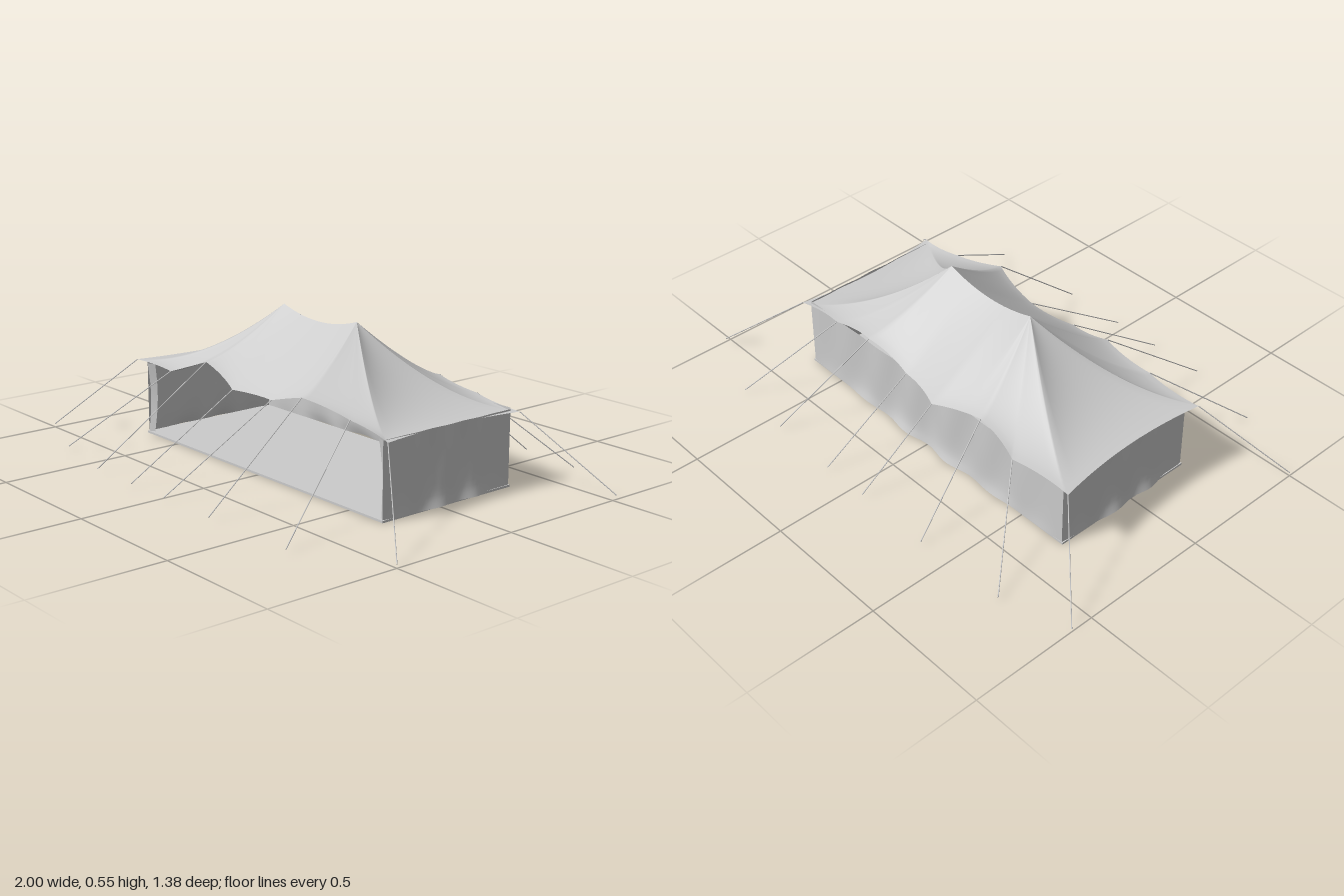
import * as THREE from 'three';

const canvas = new THREE.MeshStandardMaterial({ color: 0xcccccc, side: THREE.DoubleSide });
const lerp = THREE.MathUtils.lerp;

// Eave points x, y, z, each with the ground peg (x, z) of its guy rope
const frontEave = [
  [-0.74, 0.29, 0.275, -1, 0.5], [-0.5, 0.29, 0.285, -0.7, 0.62],
  [-0.32, 0.355, 0.25, -0.39, 0.69], [-0.12, 0.295, 0.28, -0.17, 0.69],
  [0.08, 0.295, 0.26, 0.03, 0.69], [0.28, 0.35, 0.285, 0.29, 0.69],
  [0.49, 0.31, 0.25, 0.685, 0.68], [0.69, 0.28, 0.26, 1, 0.5],
];
const backEave = [
  [0.69, 0.275, -0.355, 1, -0.52], [0.48, 0.3, -0.355, 0.69, -0.65],
  [0.29, 0.33, -0.355, 0.43, -0.68], [0.09, 0.285, -0.35, 0.135, -0.69],
  [-0.1, 0.285, -0.395, -0.06, -0.69], [-0.31, 0.325, -0.355, -0.375, -0.69],
  [-0.5, 0.285, -0.385, -0.74, -0.67], [-0.75, 0.285, -0.37, -1, -0.59],
];

// Surface through a grid of points: columns of equal length
function sheet(name, columns, closed) {
  const rows = columns[0].length, n = columns.length, index = [];
  for (let i = 0; i < (closed ? n : n - 1); i++) {
    for (let j = 0; j < rows - 1; j++) {
      const a = i * rows + j, b = ((i + 1) % n) * rows + j;
      index.push(a, b, b + 1, a, b + 1, a + 1);
    }
  }
  const geometry = new THREE.BufferGeometry().setFromPoints(columns.flat());
  geometry.setIndex(index);
  geometry.computeVertexNormals();
  const mesh = new THREE.Mesh(geometry, canvas);
  mesh.name = name;
  return mesh;
}

// Roof cloth hanging from a sagging ridge between two peaks down to the eave
function makeRoof() {
  const ring = [...frontEave, ...backEave];
  const columns = [], steps = 12, rows = 20;
  ring.forEach((p, i) => {
    const q = ring[(i + 1) % ring.length];
    const isEnd = i === 7 || i === 15;
    for (let k = 0; k < steps; k++) {
      const t = k / steps, bow = 4 * t * (1 - t);
      const e = new THREE.Vector3(lerp(p[0], q[0], t), lerp(p[1], q[1], t), lerp(p[2], q[2], t));
      // the cloth edge pulls in between the tied points
      if (isEnd) e.x -= Math.sign(e.x) * 0.03 * bow;
      else e.z -= Math.sign(e.z) * 0.01 * bow;
      const rx = THREE.MathUtils.clamp(e.x, -0.22, 0.19);
      const u = (rx + 0.015) / 0.205;
      const ridge = new THREE.Vector3(rx, 0.518 + 0.034 * u * u, -0.04);
      // the slope is more hollow towards the ends
      const power = isEnd ? 1.85 + 0.2 * bow : lerp(1.1, 1.85, Math.min(1, Math.abs(e.x) / 0.7) ** 1.5);
      const column = [];
      for (let j = 0; j <= rows; j++) {
        const s = j / rows, v = e.clone().lerp(ridge, s);
        v.y = lerp(e.y, ridge.y, s ** power);
        column.push(v);
      }
      columns.push(column);
    }
  });
  return sheet('roof', columns, true);
}

// One rippled wall from (x0, z0) to (x1, z1), flaring at the hem
function makeWall(name, x0, z0, x1, z1, folds, top) {
  const columns = [], n = folds * 10, rows = 14;
  const length = Math.hypot(x1 - x0, z1 - z0);
  const nx = -(z1 - z0) / length, nz = (x1 - x0) / length;
  for (let i = 0; i <= n; i++) {
    const t = i / n, column = [], fade = Math.sin(Math.PI * t);
    for (let j = 0; j <= rows; j++) {
      const h = j / rows;
      const ripple = 0.005 * Math.cos(t * folds * Math.PI * 2) * (0.4 + Math.sin(h * Math.PI)) * fade;
      const hem = 0.014 * Math.exp(-h * 9) * (1 + 0.5 * Math.sin(t * folds * 5)) * fade;
      const off = ripple + hem;
      column.push(new THREE.Vector3(lerp(x0, x1, t) + nx * off, lerp(0.005, top, h), lerp(z0, z1, t) + nz * off));
    }
    columns.push(column);
  }
  return sheet(name, columns, false);
}

// Narrow strip of cloth turned inwards beside the open front
function makeFlap(name, x, side) {
  const columns = [];
  for (let i = 0; i <= 4; i++) {
    const column = [];
    for (let j = 0; j <= 10; j++) {
      const h = j / 10, width = 0.022 + 0.012 * h;
      column.push(new THREE.Vector3(
        x - side * width * i / 4, lerp(0.005, 0.28, h),
        0.258 - 0.012 * Math.sin(h * Math.PI) - 0.012 * i / 4));
    }
    columns.push(column);
  }
  return sheet(name, columns, false);
}

// Straight guy rope
function makeRope([x, y, z, px, pz]) {
  const a = new THREE.Vector3(x, y, z), b = new THREE.Vector3(px, 0.014, pz);
  const dir = b.clone().sub(a);
  const rope = new THREE.Mesh(new THREE.CylinderGeometry(0.002, 0.002, dir.length(), 6), canvas);
  rope.position.copy(a).add(b).multiplyScalar(0.5);
  rope.quaternion.setFromUnitVectors(new THREE.Vector3(0, 1, 0), dir.normalize());
  rope.name = 'guyRope';
  return rope;
}

export function createModel() {
  const tent = new THREE.Group();
  tent.name = 'tent';
  tent.add(makeRoof());

  // Walls on three sides, the front stays open
  tent.add(makeWall('leftWall', 0.665, 0.258, 0.665, -0.335, 4, 0.282).translateX(0));
  tent.add(makeWall('backWall', 0.665, -0.335, -0.695, -0.335, 7, 0.288));
  tent.add(makeWall('rightWall', -0.695, -0.335, -0.695, 0.258, 4, 0.285));
  tent.add(makeFlap('leftFrontFlap', 0.665, 1));
  tent.add(makeFlap('rightFrontFlap', -0.695, -1));

  // Ground sheet
  const floor = new THREE.Mesh(new THREE.BoxGeometry(1.37, 0.008, 0.598), canvas);
  floor.position.set(-0.015, 0.004, -0.038);
  floor.name = 'floor';
  tent.add(floor);

  // Ropes from every eave point to its peg
  const ropes = new THREE.Group();
  ropes.name = 'guyRopes';
  [...frontEave, ...backEave].forEach((p) => ropes.add(makeRope(p)));
  tent.add(ropes);
  return tent;
}
